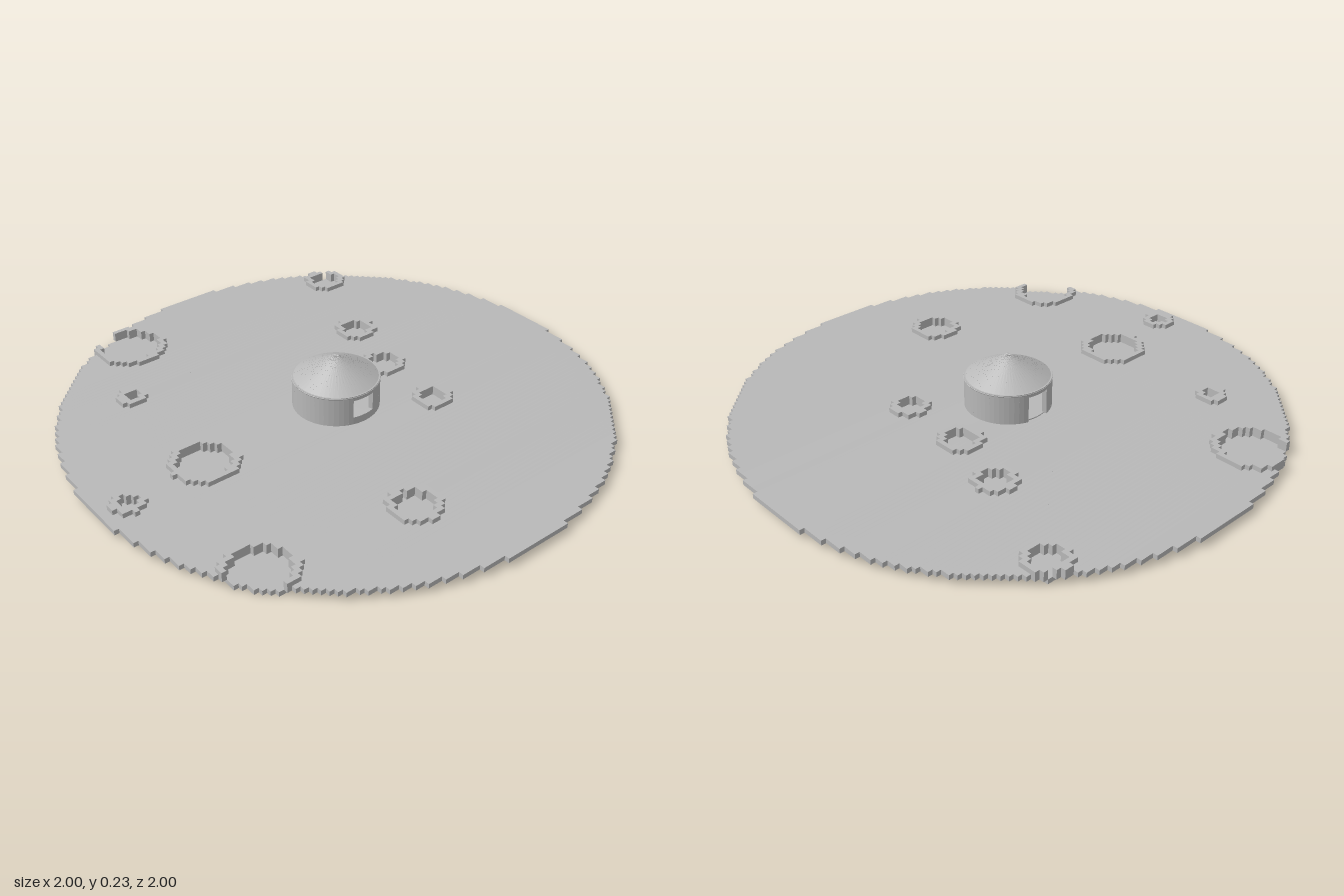
import * as THREE from 'three';
import { mergeGeometries } from 'three/addons/utils/BufferGeometryUtils.js';

const N = 113;            // blocks across the disc
const V = 2 / N;          // block size
const HALF = (N - 1) / 2;
const STAVES = 56;        // wall staves and roof planks around the hut

// craters: centre x, centre z, outer rim radius
const CRATERS = [
  [-0.39, -0.80, 0.136], [-0.586, 0.016, 0.122], [-0.185, 0.635, 0.094],
  [0.385, -0.35, 0.076], [0.305, -0.085, 0.082], [0.288, 0.21, 0.071],
  [-0.9, 0.05, 0.058], [0.548, -0.755, 0.081], [-0.572, -0.484, 0.054],
  [-0.75, 0.57, 0.125],
];

const inDisc = (x, z) => Math.hypot(x, z) <= 1;
const inCrater = (x, z, rim) =>
  CRATERS.some(([cx, cz, r]) => Math.hypot(x - cx, z - cz) < r - rim);
const inPit = (x, z) => inCrater(x, z, V * 1.4);

// one layer of blocks, each row joined into runs along x
function blockLayer(level, test) {
  const boxes = [];
  for (let j = -HALF; j <= HALF; j++) {
    let start = null;
    for (let i = -HALF; i <= HALF + 1; i++) {
      const filled = i <= HALF && inDisc(i * V, j * V) && test(i * V, j * V);
      if (filled && start === null) start = i;
      if (!filled && start !== null) {
        const n = i - start;
        boxes.push(new THREE.BoxGeometry(n * V, V, V)
          .translate((start + (n - 1) / 2) * V, (level + 0.5) * V, j * V));
        start = null;
      }
    }
  }
  return mergeGeometries(boxes);
}

export function createModel() {
  const model = new THREE.Group();
  model.name = 'crateredDiscWithHut';
  const stone = new THREE.MeshStandardMaterial({ color: 0xb8b8b8 });
  stone.name = 'grey stone';

  const add = (name, geometry, parent = model) => {
    const mesh = new THREE.Mesh(geometry, stone);
    mesh.name = name;
    parent.add(mesh);
    return mesh;
  };

  // ground with openings for the pits and under the hut
  add('ground', blockLayer(1, (x, z) => !inPit(x, z) && Math.hypot(x, z) > 0.139));
  add('craterFloors', blockLayer(0, inPit));
  add('craterRims', blockLayer(2, (x, z) => inCrater(x, z, 0) && !inPit(x, z)));

  const hut = new THREE.Group();
  hut.name = 'hut';
  model.add(hut);

  // round wall of upright staves, with a front window and a back doorway
  const base = 2 * V, wallTop = 0.152;
  const staves = [], planks = [];
  for (let i = 0; i < STAVES; i++) {
    const a = (i / STAVES) * Math.PI * 2;
    const fromFront = Math.min(i, STAVES - i);
    const fromBack = Math.abs(i - STAVES / 2);
    let spans = [[base, wallTop]];
    if (fromFront <= 2) spans = [[base, 0.064], [0.134, wallTop]];
    if (fromBack <= 2) spans = [[0.135, wallTop]];
    for (const [lo, hi] of spans) {
      staves.push(new THREE.BoxGeometry(0.0182, hi - lo, V)
        .translate(0, (lo + hi) / 2, 0.16 - V / 2).rotateY(a));
    }
    // sloping roof plank from peak to eave
    const length = 0.183;
    planks.push(new THREE.BoxGeometry(0.0185, 0.012, length)
      .translate(0, -0.006, length / 2).rotateX(0.488)
      .translate(0, 0.234, 0).rotateY(a));
  }
  add('wall', mergeGeometries(staves), hut);
  add('roof', mergeGeometries(planks), hut);

  // floor and hanging lamp inside
  add('hutFloor', new THREE.CylinderGeometry(0.15, 0.15, 0.004, STAVES)
    .translate(0, base + 0.002, 0), hut);
  add('lampCord', new THREE.CylinderGeometry(0.002, 0.002, 0.1, 6)
    .translate(0, 0.165, 0), hut);
  add('lampBulb', new THREE.SphereGeometry(0.004, 8, 6).translate(0, 0.113, 0), hut);

  return model;
}
